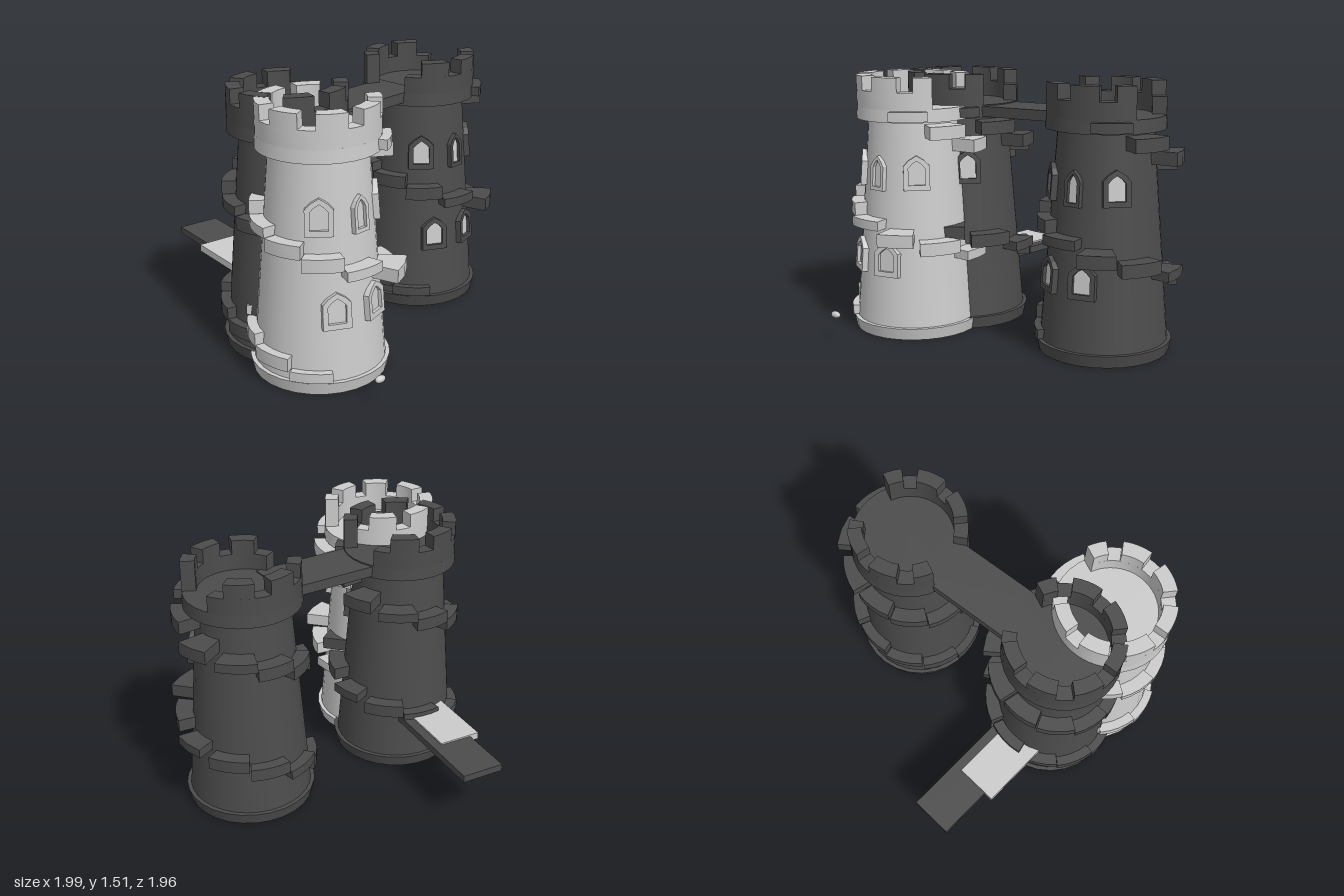
import * as THREE from 'three';
import { toCreasedNormals } from 'three/addons/utils/BufferGeometryUtils.js';

const RAD = Math.PI / 180;

function material(name, color) {
  const m = new THREE.MeshStandardMaterial({ color });
  m.name = name;
  return m;
}

function addMesh(parent, name, geometry, mat) {
  const mesh = new THREE.Mesh(geometry, mat);
  mesh.name = name;
  parent.add(mesh);
  return mesh;
}

// Block bent around the tower axis; 0 degrees is +x, 90 degrees is +z
function sector(r0, r1, a0, a1, y0, y1, segments = 4) {
  const s = new THREE.Shape();
  s.absarc(0, 0, r1, -a1 * RAD, -a0 * RAD, false);
  s.absarc(0, 0, r0, -a0 * RAD, -a1 * RAD, true);
  s.closePath();
  const g = new THREE.ExtrudeGeometry(s, { depth: y1 - y0, bevelEnabled: false, curveSegments: segments });
  g.rotateX(-Math.PI / 2).translate(0, y0, 0);
  return toCreasedNormals(g, 0.5);
}

// Pointed window outline
function outline(target, w, h) {
  target.moveTo(-w / 2, -h / 2);
  target.lineTo(w / 2, -h / 2);
  target.lineTo(w / 2, h * 0.2);
  target.lineTo(w * 0.3, h * 0.36);
  target.lineTo(0, h / 2);
  target.lineTo(-w * 0.3, h * 0.36);
  target.lineTo(-w / 2, h * 0.2);
  target.closePath();
  return target;
}

const wallRadius = (y) => 0.365 - 0.079 * y;

function makeWindow(angle, y, w, h, stone, pane) {
  const group = new THREE.Group();
  group.name = 'window';
  const border = w > 0.12 ? 0.028 : 0.02;
  const shape = outline(new THREE.Shape(), w, h);
  shape.holes.push(outline(new THREE.Path(), w - 2 * border, h - 2.2 * border));
  const frame = new THREE.ExtrudeGeometry(shape, { depth: 0.055, bevelEnabled: false });
  addMesh(group, 'windowFrame', frame, stone).position.z = -0.03;
  const glass = new THREE.ShapeGeometry(outline(new THREE.Shape(), w - border, h - border));
  addMesh(group, 'windowPane', glass, pane).position.z = 0.005;
  const r = wallRadius(y);
  group.position.set(r * Math.cos(angle * RAD), y, r * Math.sin(angle * RAD));
  group.rotation.order = 'YXZ';
  group.rotation.set(-0.078, Math.PI / 2 - angle * RAD, 0);
  return group;
}

function makeTower(name, stone, pane, openings) {
  const tower = new THREE.Group();
  tower.name = name;

  // Foot and tapering wall
  const foot = addMesh(tower, 'foot', new THREE.CylinderGeometry(0.385, 0.37, 0.07, 28), stone);
  foot.position.y = 0.035;
  const wall = addMesh(tower, 'wall', new THREE.CylinderGeometry(0.265, 0.362, 1.21, 32), stone);
  wall.position.y = 0.665;

  // Crown platform
  const floor = addMesh(tower, 'platform', new THREE.CylinderGeometry(0.33, 0.335, 0.075, 32), stone);
  floor.position.y = 1.2975;

  // Parapet and battlements, left open where people walk through
  const half = 27;
  const sorted = [...openings].sort((a, b) => a - b);
  sorted.forEach((open, i) => {
    const next = i + 1 < sorted.length ? sorted[i + 1] : sorted[0] + 360;
    const a0 = open + half, a1 = next - half;
    addMesh(tower, 'parapet', sector(0.25, 0.33, a0, a1, 1.33, 1.43, 24), stone);
    for (let gap = 9; gap < 720; gap += 45) {
      const m0 = Math.max(gap + 8, a0), m1 = Math.min(gap + 37, a1);
      if (m1 - m0 > 5) addMesh(tower, 'merlon', sector(0.25, 0.33, m0, m1, 1.43, 1.512), stone);
    }
  });

  // Spiral stairs
  const reach = [0.395, 0.4, 0.4, 0.405, 0.4, 0.41, 0.44, 0.42, 0.47, 0.4, 0.38, 0.37,
    0.37, 0.37, 0.375, 0.4, 0.43, 0.4, 0.38];
  reach.forEach((r, k) => {
    const angle = 141 + 35 * k;
    const y = 0.105 + 0.063 * k + Math.max(0, k - 16) * 0.03;
    const outstanding = r > 0.42;
    const spread = outstanding ? 13 : 17;
    const height = k % 3 === 0 ? 0.055 : 0.075;
    addMesh(tower, 'step', sector(0.2, r, angle - spread, angle + spread,
      y - height / 2, y + height / 2, outstanding ? 1 : 2), stone);
  });

  // Two rows of windows
  [[134, 0.97, 0.15], [90, 0.96, 0.1], [44, 0.97, 0.15], [119, 0.465, 0.155], [76, 0.465, 0.155]]
    .forEach(([a, y, w]) => tower.add(makeWindow(a, y, w, 0.2, stone, pane)));
  return tower;
}

export function createModel() {
  const dark = material('darkStone', 0x4c4c4c);
  const light = material('lightStone', 0xcccccc);
  const model = new THREE.Group();
  model.name = 'castleTowers';

  // Towers
  const lightTower = makeTower('lightTower', light, light, [0]);
  lightTower.position.set(-0.6, 0, 0.39);
  const middleTower = makeTower('darkTowerRight', dark, light, [0]);
  middleTower.position.set(-0.51, 0.001, 0.055);
  const farTower = makeTower('darkTowerLeft', dark, light, [0, 180]);
  farTower.position.set(0.55, 0, 0.068);
  model.add(lightTower, middleTower, farTower);

  // High bridge between the dark towers
  const bridge = addMesh(model, 'bridge', new THREE.BoxGeometry(0.7, 0.06, 0.305), dark);
  bridge.position.set(0.03, 1.304, 0.062);
  bridge.rotation.z = 0.02;

  // Entrance planks at the back
  const plank = new THREE.BoxGeometry(0.255, 0.042, 0.76);
  [['darkPlank', dark, -0.415, 0.342, -0.6], ['lightPlank', light, -0.51, 0.345, -0.28]]
    .forEach(([name, mat, x, y, z]) => {
      const p = addMesh(model, name, plank, mat);
      p.position.set(x, y, z);
      p.rotation.set(0.02, -0.12, 0);
    });

  // Small floating pebble
  const pebble = addMesh(model, 'pebble', new THREE.SphereGeometry(1, 16, 12), light);
  pebble.scale.set(0.033, 0.02, 0.02);
  pebble.position.set(-0.715, 0.155, 0.95);
  return model;
}
